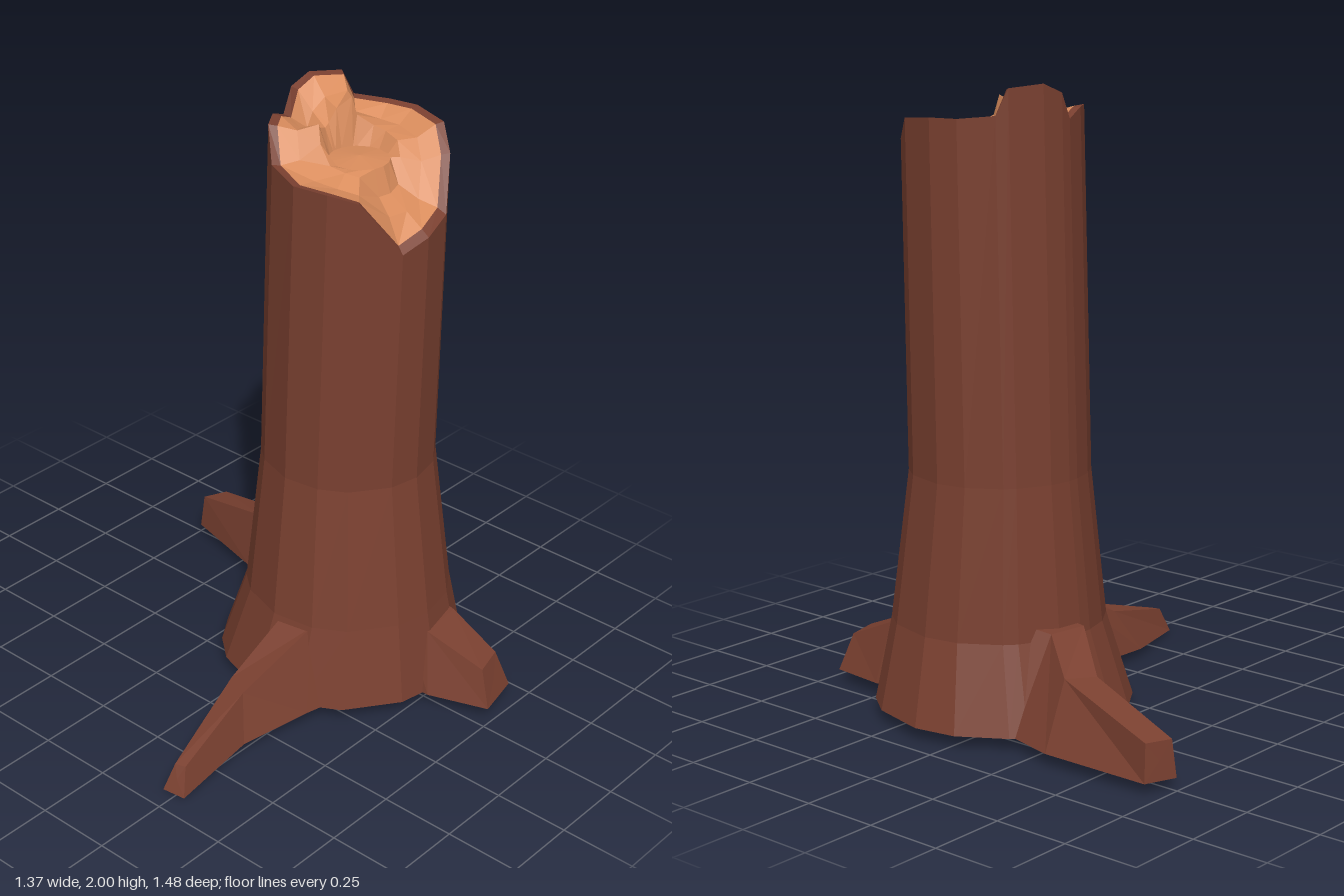
import * as THREE from 'three';

const bark = new THREE.MeshStandardMaterial({ color: 0x7a4030, flatShading: true });
const wood = new THREE.MeshStandardMaterial({ color: 0xd98c5c, flatShading: true });

// Skin a list of closed loops (each an array of [x, y, z]) with flat facets
function loft(name, loops, material) {
  const pos = [];
  const tri = (a, b, c) => {
    const v = [a, b, c].map(p => new THREE.Vector3(...p));
    const n = v[1].clone().sub(v[0]).cross(v[2].clone().sub(v[0]));
    if (n.length() > 1e-9) pos.push(...a, ...b, ...c);
  };
  for (let i = 0; i < loops.length - 1; i++) {
    const lo = loops[i], hi = loops[i + 1], n = lo.length;
    for (let j = 0; j < n; j++) {
      const k = (j + 1) % n;
      tri(lo[j], hi[j], lo[k]);
      tri(hi[j], hi[k], lo[k]);
    }
  }
  const g = new THREE.BufferGeometry();
  g.setAttribute('position', new THREE.Float32BufferAttribute(pos, 3));
  g.computeVertexNormals();
  const mesh = new THREE.Mesh(g, material);
  mesh.name = name;
  return mesh;
}

// Broken rim: angle in degrees (0 = +x, 90 = +z), rim height, splinter height inside
const RIM = [
  [0, 1.90, 1.86], [28, 1.89, 1.85], [45, 1.82, 1.81], [66, 1.66, 1.74],
  [90, 1.63, 1.73], [111, 1.60, 1.73], [140, 1.78, 1.80], [160, 1.80, 1.81],
  [185, 1.80, 1.82], [212, 1.82, 1.87], [228, 1.92, 1.92], [246, 1.92, 1.89],
  [262, 1.89, 1.88], [270, 1.97, 1.89], [285, 2.00, 1.93], [308, 1.99, 1.96],
  [316, 1.91, 1.90], [340, 1.90, 1.87],
];

// One trunk loop; height may be a number or a function of the rim entry
const ring = (cx, cz, r, height) => RIM.map(e => {
  const a = THREE.MathUtils.degToRad(e[0]);
  return [cx + r * Math.cos(a), typeof height === 'number' ? height : height(e), cz + r * Math.sin(a)];
});

// Root section: outer corner, top corner, top corner, outer corner (x, z pairs)
const section = (yb, yt, bA, tA, tB, bB) => [
  [bA[0], yb, bA[1]], [tA[0], yt, tA[1]], [tB[0], yt, tB[1]], [bB[0], yb, bB[1]],
];

function root(name, sections) {
  const tip = sections[sections.length - 1];
  const mid = [0, 1, 2].map(k => tip.reduce((s, p) => s + p[k] / 4, 0));
  return loft(name, [...sections, tip.map(() => mid)], bark);
}

export function createModel() {
  const model = new THREE.Group();
  model.name = 'treeStump';

  // Trunk with flared foot, closed underneath, ending in a thin bark lip
  model.add(loft('trunk', [
    ring(0.28, 0.12, 0, 0.04),
    ring(0.28, 0.12, 0.41, 0.04),
    ring(0.28, 0.14, 0.34, 0.31),
    ring(0.292, 0.12, 0.285, 0.79),
    ring(0.303, 0.13, 0.278, e => e[1]),
    ring(0.303, 0.13, 0.25, e => e[1] + (e[1] < 1.7 ? 0.02 : -0.005)),
  ], bark));

  // Splintered wood inside the rim
  model.add(loft('brokenWood', [
    ring(0.303, 0.13, 0.25, e => e[1] + (e[1] < 1.7 ? 0.02 : -0.005)),
    ring(0.303, 0.13, 0.19, e => (e[1] < 1.7 ? e[2] - 0.04 : (e[1] + e[2]) / 2 - 0.02)),
    ring(0.303, 0.13, 0.125, e => e[2]),
    ring(0.303, 0.13, 0.095, 1.81),
    ring(0.303, 0.13, 0, 1.82),
  ], wood));

  // Long root toward -x
  model.add(root('rightRoot', [
    section(0.04, 0.33, [0.05, 0.05], [0.05, 0.13], [0.05, 0.24], [0.05, 0.35]),
    section(0.04, 0.30, [-0.15, 0.08], [-0.04, 0.13], [-0.03, 0.245], [-0.12, 0.31]),
    section(0.03, 0.18, [-0.38, 0.09], [-0.28, 0.125], [-0.32, 0.21], [-0.37, 0.26]),
    section(0.00, 0.085, [-0.68, 0.20], [-0.64, 0.215], [-0.63, 0.25], [-0.67, 0.28]),
  ]));

  // Long root toward the back
  model.add(root('backRoot', [
    section(0.04, 0.36, [0.56, -0.05], [0.45, -0.1], [0.3, -0.1], [0.25, -0.1]),
    section(0.04, 0.34, [0.56, -0.17], [0.42, -0.2], [0.29, -0.22], [0.27, -0.29]),
    section(0.04, 0.25, [0.60, -0.33], [0.51, -0.33], [0.43, -0.39], [0.40, -0.42]),
    section(0.035, 0.155, [0.59, -0.70], [0.58, -0.695], [0.50, -0.73], [0.49, -0.74]),
  ]));

  // Short front root
  model.add(root('frontRoot', [
    section(0.04, 0.26, [0.22, 0.4], [0.26, 0.4], [0.43, 0.4], [0.47, 0.4]),
    section(0.04, 0.245, [0.22, 0.54], [0.27, 0.49], [0.43, 0.475], [0.47, 0.51]),
    section(0.04, 0.165, [0.29, 0.735], [0.31, 0.69], [0.42, 0.66], [0.45, 0.70]),
  ]));

  return model;
}
